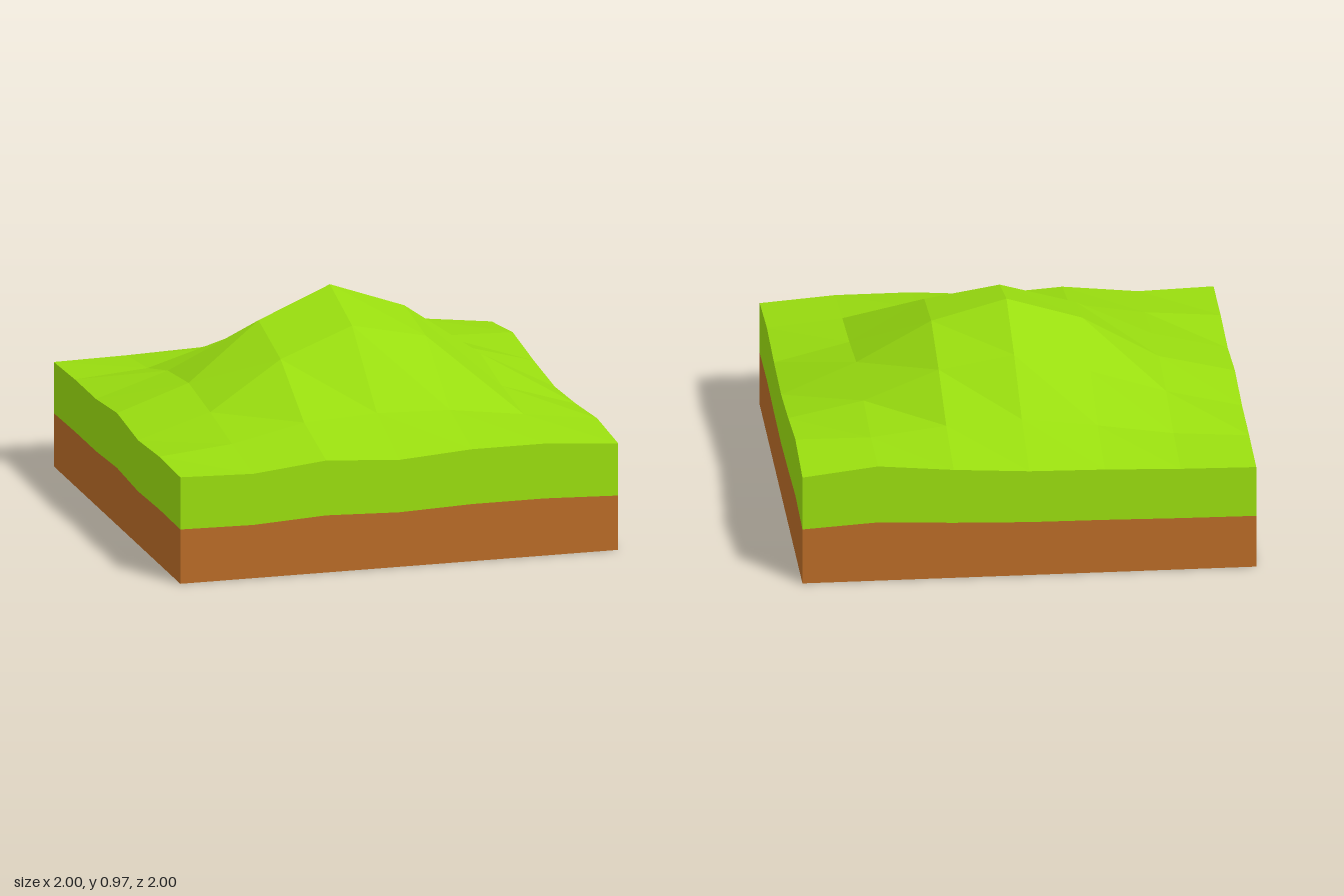
import * as THREE from 'three';

const N = 7;
// Ground heights, rows from back (-z) to front (+z), columns from -x to +x
const HEIGHTS = [
  [0.475, 0.48, 0.49, 0.495, 0.515, 0.545, 0.505],
  [0.485, 0.51, 0.57, 0.62, 0.60, 0.55, 0.545],
  [0.485, 0.58, 0.71, 0.82, 0.75, 0.59, 0.505],
  [0.51, 0.61, 0.845, 0.97, 0.86, 0.64, 0.475],
  [0.475, 0.57, 0.765, 0.88, 0.815, 0.585, 0.487],
  [0.49, 0.52, 0.585, 0.60, 0.59, 0.55, 0.51],
  [0.485, 0.475, 0.51, 0.487, 0.51, 0.51, 0.485],
];
const grid = (i) => -1 + (2 * i) / (N - 1);
const isEdge = (i, j) => i % (N - 1) === 0 || j % (N - 1) === 0;

// The hill leans back: inner points slide towards -z as they rise
function groundPoint(i, j) {
  const y = HEIGHTS[j][i];
  const lift = isEdge(i, j) ? 0 : y - 0.5;
  return [grid(i) + 0.05 * lift, y, grid(j) - 0.38 * lift];
}
// Seam between grass and soil, along the rim
function seamPoint(i, j) {
  return [grid(i), HEIGHTS[j][i] * 0.51, grid(j)];
}
// Nearly flat underside, slightly hollow under the hill
function basePoint(i, j) {
  const lift = isEdge(i, j) ? 0 : HEIGHTS[j][i] - 0.5;
  return [grid(i), Math.max(0, 0.04 * lift), grid(j)];
}

function makeMesh(name, positions, color) {
  const geometry = new THREE.BufferGeometry();
  geometry.setAttribute('position', new THREE.Float32BufferAttribute(positions, 3));
  geometry.computeVertexNormals();
  const mesh = new THREE.Mesh(geometry, new THREE.MeshStandardMaterial({ color, flatShading: true }));
  mesh.name = name;
  return mesh;
}

// Sheet of split squares, facing up or down
function sheet(point, faceUp) {
  const out = [];
  for (let j = 0; j < N - 1; j++) {
    for (let i = 0; i < N - 1; i++) {
      const a = point(i, j), b = point(i + 1, j), c = point(i + 1, j + 1), d = point(i, j + 1);
      const corners = faceUp ? [a, d, c, a, c, b] : [a, c, d, a, b, c];
      out.push(...corners.flat());
    }
  }
  return out;
}

// Rim of grid points: front, right, back, left, counter-clockwise from above
const rim = [];
for (let k = 0; k < N - 1; k++) rim.push([k, N - 1]);
for (let k = N - 1; k > 0; k--) rim.push([N - 1, k]);
for (let k = N - 1; k > 0; k--) rim.push([k, 0]);
for (let k = 0; k < N - 1; k++) rim.push([0, k]);

// Band of outward-facing wall between two levels
function wall(lower, upper) {
  const out = [];
  rim.forEach((p, k) => {
    const q = rim[(k + 1) % rim.length];
    const a = lower(...p), b = lower(...q), c = upper(...q), d = upper(...p);
    out.push(...[a, b, c, a, c, d].flat());
  });
  return out;
}

export function createModel() {
  const grass = 0x99dd0f;
  const soil = 0xb96b26;
  const group = new THREE.Group();
  group.name = 'hillTile';
  group.add(
    makeMesh('grassHill', sheet(groundPoint, true), grass),
    makeMesh('grassSides', wall(seamPoint, groundPoint), grass),
    makeMesh('soilSides', wall(basePoint, seamPoint), soil),
    makeMesh('soilBase', sheet(basePoint, false), soil),
  );
  return group;
}
